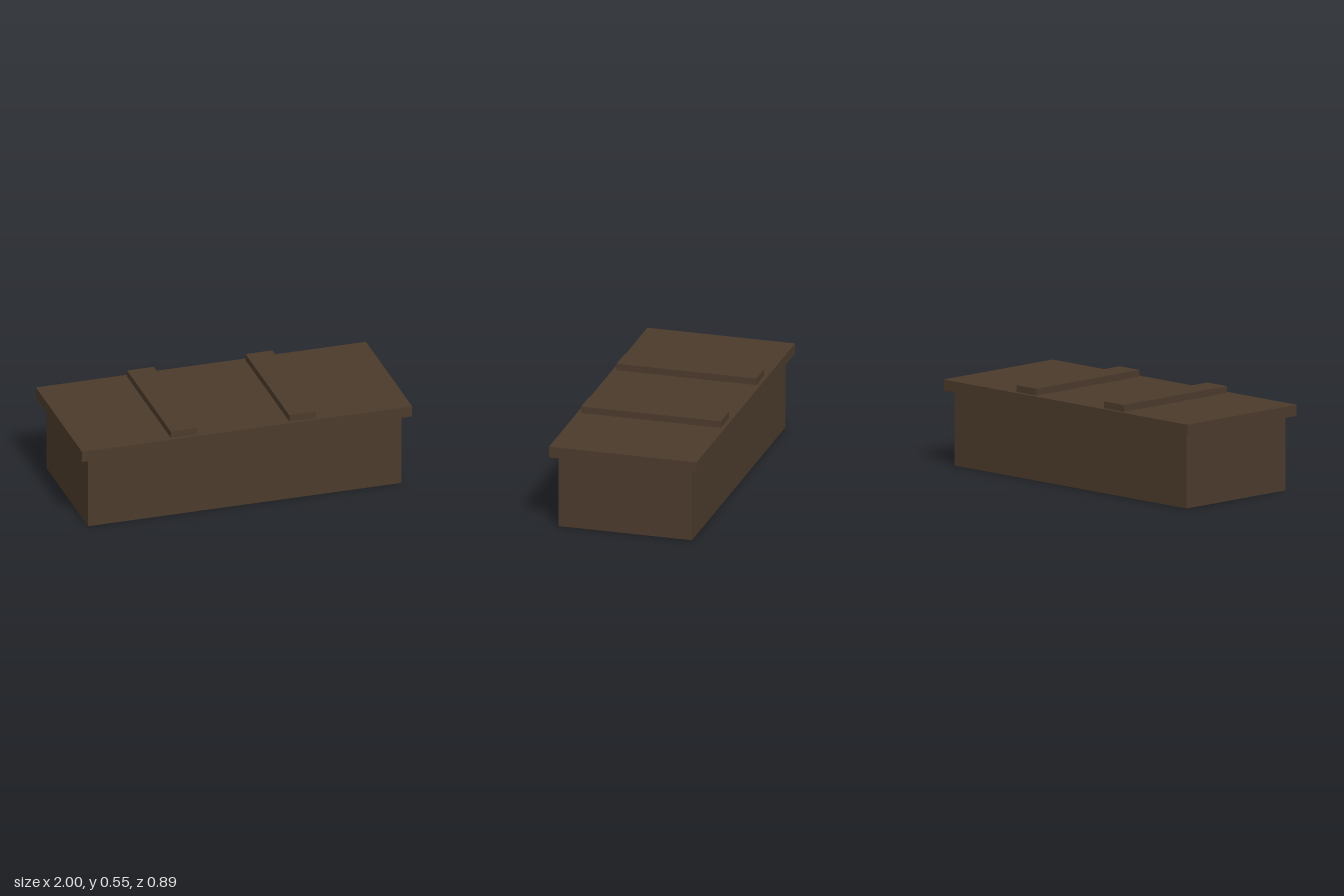
import * as THREE from 'three';

// Box with some faces left out. Face order: 0 +x, 1 -x, 2 +y, 3 -y, 4 +z, 5 -z
function openBox(w, h, d, missing) {
  const geometry = new THREE.BoxGeometry(w, h, d);
  const index = Array.from(geometry.index.array);
  geometry.setIndex(index.filter((_, i) => !missing.includes(Math.floor(i / 6))));
  geometry.clearGroups();
  return geometry;
}

export function createModel() {
  const model = new THREE.Group();
  model.name = 'crate';

  const wood = new THREE.MeshStandardMaterial({ color: 0x4b3a2b, side: THREE.DoubleSide });
  wood.name = 'dark brown wood';

  function add(name, geometry, x, bottom) {
    const mesh = new THREE.Mesh(geometry, wood);
    mesh.name = name;
    mesh.position.set(x, bottom + geometry.parameters.height / 2, 0);
    model.add(mesh);
  }

  // Four thin walls, open below and reaching up inside the lid
  add('body', openBox(1.9, 0.46, 0.805, [2, 3]), 0, 0);

  // Hollow lid overhanging the walls
  add('lid', openBox(2, 0.065, 0.89, [3]), 0, 0.44);

  // Two battens across the lid
  add('rightBatten', openBox(0.162, 0.04, 0.842, [3]), -0.374, 0.505);
  add('leftBatten', openBox(0.162, 0.04, 0.842, [3]), 0.344, 0.505);

  return model;
}
